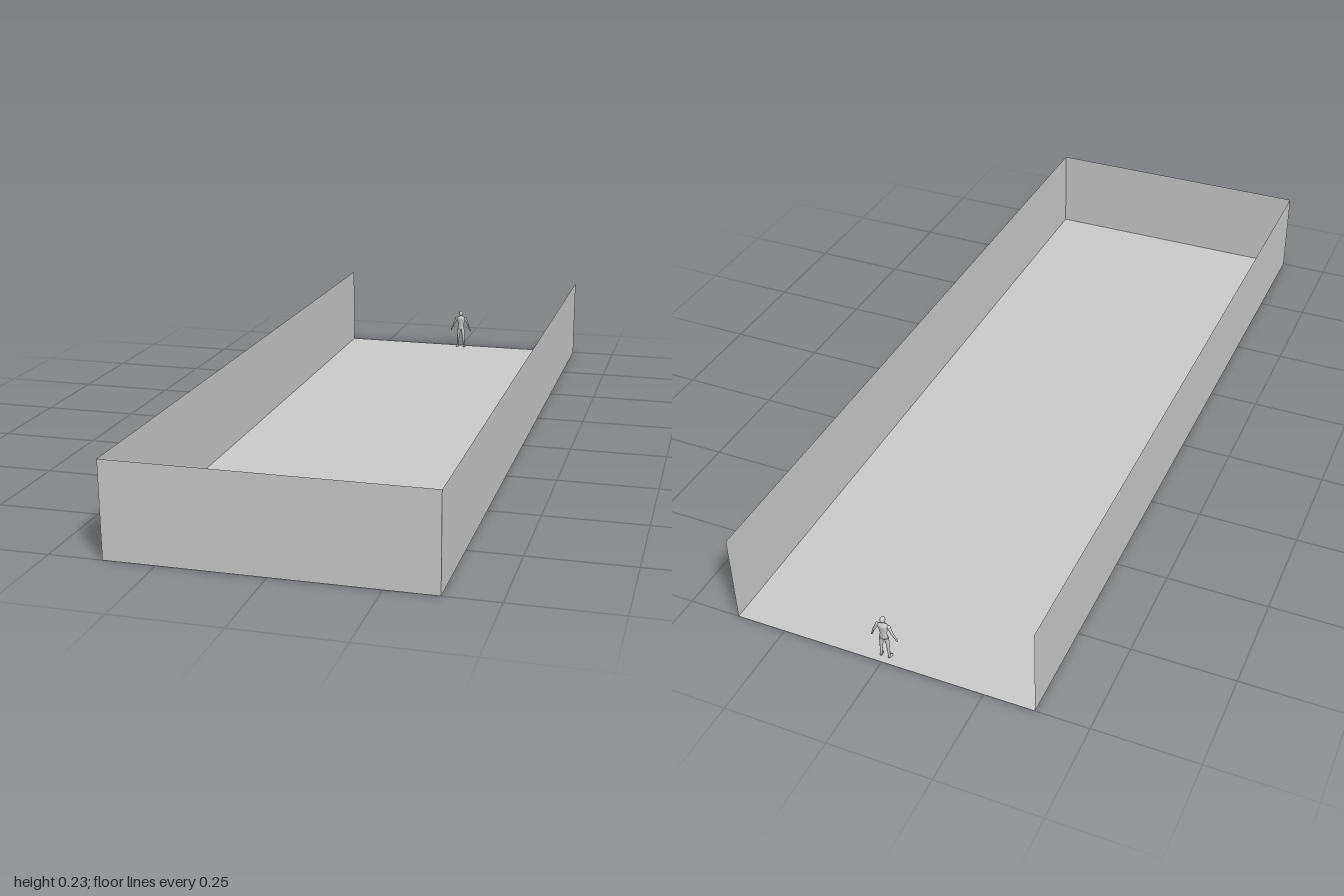
import * as THREE from 'three';

const W = 0.745, L = 2, H = 0.23;

export function createModel() {
  const model = new THREE.Group();
  const sheet = new THREE.MeshStandardMaterial({ color: 0xcccccc, side: THREE.DoubleSide });
  const skin = new THREE.MeshStandardMaterial({ color: 0xcccccc });

  const add = (parent, name, geometry, material) => {
    const mesh = new THREE.Mesh(geometry, material);
    mesh.name = name;
    parent.add(mesh);
    return mesh;
  };

  // Thin tray: floor, front wall and two side walls, open at the back
  add(model, 'floor', new THREE.PlaneGeometry(W, L).rotateX(-Math.PI / 2), sheet);
  add(model, 'frontWall', new THREE.PlaneGeometry(W, H), sheet).position.set(0, H / 2, L / 2);
  for (const s of [-1, 1]) {
    const wall = add(model, s > 0 ? 'leftWall' : 'rightWall',
      new THREE.PlaneGeometry(L, H).rotateY(s * Math.PI / 2), sheet);
    wall.position.set(s * W / 2, H / 2, 0);
  }

  // Small standing figure at the middle of the open end
  const figure = new THREE.Group();
  figure.name = 'figure';
  figure.position.set(0, 0, -0.981);
  model.add(figure);

  const ball = (name, x, y, z, rx, ry, rz) => {
    const mesh = add(figure, name, new THREE.SphereGeometry(1, 12, 8), skin);
    mesh.position.set(x, y, z);
    mesh.scale.set(rx, ry, rz);
    return mesh;
  };
  // Tapered limb from a to b
  const limb = (name, a, b, ra, rb) => {
    const from = new THREE.Vector3(...a), to = new THREE.Vector3(...b);
    const dir = to.clone().sub(from);
    const mesh = add(figure, name, new THREE.CylinderGeometry(rb, ra, dir.length(), 10), skin);
    mesh.position.copy(from).add(to).multiplyScalar(0.5);
    mesh.quaternion.setFromUnitVectors(new THREE.Vector3(0, 1, 0), dir.normalize());
  };

  // Torso: flattened lathe from crotch to neck
  const profile = [[0, 0.056], [0.009, 0.058], [0.011, 0.064], [0.0085, 0.073], [0.0115, 0.086],
    [0.0145, 0.095], [0.013, 0.1], [0.005, 0.103], [0.0035, 0.108], [0, 0.109]];
  add(figure, 'torso', new THREE.LatheGeometry(profile.map(p => new THREE.Vector2(...p)), 16), skin)
    .scale.z = 0.55;
  ball('head', 0, 0.1135, 0.001, 0.0062, 0.0085, 0.0075);

  // Arms held out from the body, legs slightly apart
  for (const s of [-1, 1]) {
    const side = s > 0 ? 'left' : 'right';
    ball(side + 'Shoulder', s * 0.0145, 0.0965, 0, 0.0045, 0.0045, 0.0045);
    limb(side + 'UpperArm', [s * 0.0145, 0.097, 0], [s * 0.0225, 0.08, -0.001], 0.0039, 0.003);
    ball(side + 'Elbow', s * 0.0225, 0.08, -0.001, 0.003, 0.003, 0.003);
    limb(side + 'Forearm', [s * 0.0225, 0.08, -0.001], [s * 0.029, 0.064, 0.002], 0.003, 0.0019);
    ball(side + 'Hand', s * 0.0305, 0.06, 0.003, 0.0022, 0.0055, 0.0032).rotation.z = s * 0.35;
    limb(side + 'Thigh', [s * 0.006, 0.061, 0], [s * 0.0085, 0.034, 0.001], 0.0058, 0.0039);
    ball(side + 'Knee', s * 0.0085, 0.034, 0.001, 0.0039, 0.0039, 0.0039);
    limb(side + 'Shin', [s * 0.0085, 0.034, 0.001], [s * 0.0105, 0.005, -0.001], 0.0039, 0.0025);
    ball(side + 'Foot', s * 0.0112, 0.0032, 0.003, 0.0035, 0.0032, 0.008).rotation.y = s * 0.2;
  }
  return model;
}
